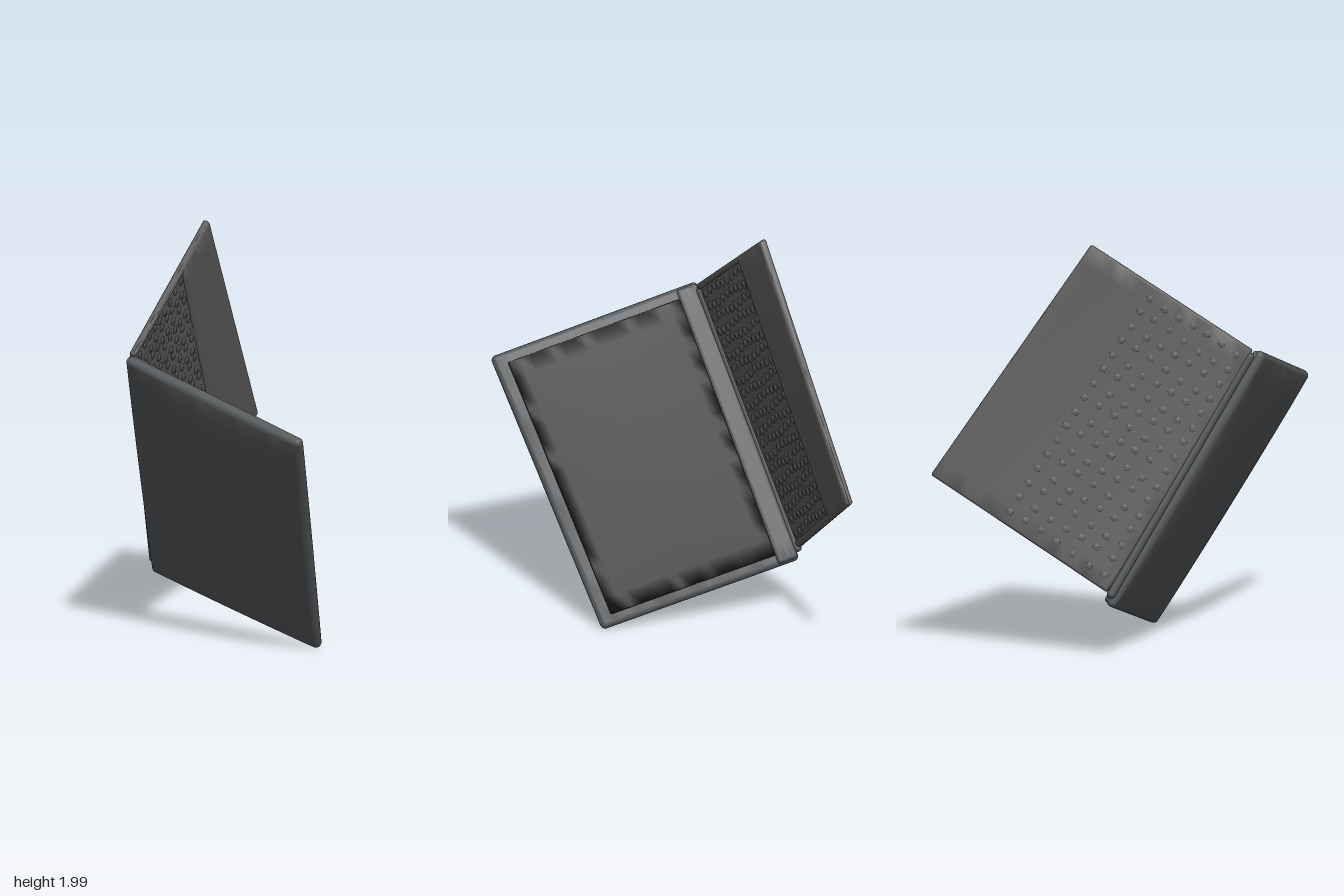
import * as THREE from 'three';
import { mergeGeometries, toCreasedNormals } from 'three/addons/utils/BufferGeometryUtils.js';

const V = (x, y, z) => new THREE.Vector3(x, y, z);
const material = (color) => new THREE.MeshStandardMaterial({ color });

// A panel frame: x runs along the hinge, y away from it, z along the normal.
// front and back say how far the middle of the panel swells like a pillow.
function panelFrame(a, b, c, d, front = 0, back = 0) {
  const u = b.clone().sub(a).add(c).sub(d);
  const v = d.clone().sub(a).add(c).sub(b);
  const normal = u.clone().cross(v).normalize();
  const width = u.length() / 2, height = v.length() / 2;
  const arch = (t) => Math.sqrt(Math.max(0, Math.sin(Math.PI * t)));
  const place = (x, y, z) => {
    const s = x / width, t = y / height;
    const swell = arch(s) * arch(t) * (z > 0 ? front : -back);
    return a.clone().multiplyScalar((1 - s) * (1 - t))
      .addScaledVector(b, s * (1 - t)).addScaledVector(c, s * t)
      .addScaledVector(d, (1 - s) * t).addScaledVector(normal, z + swell);
  };
  // Moves a flat-built geometry onto the tilted panel
  const bend = (geometry) => {
    const g = geometry.toNonIndexed();
    const p = g.attributes.position;
    for (let i = 0; i < p.count; i++) {
      const q = place(p.getX(i), p.getY(i), p.getZ(i));
      p.setXYZ(i, q.x, q.y, q.z);
    }
    return toCreasedNormals(g, 1);
  };
  return { width, height, bend };
}

// Finely divided rounded slab between two corners of the flat panel
function slab(x0, x1, y0, y1, z0, z1, radius) {
  const half = [(x1 - x0) / 2, (y1 - y0) / 2, (z1 - z0) / 2];
  const g = new THREE.BoxGeometry(2, 2, 2, 32, 32, 8);
  const p = g.attributes.position;
  for (let i = 0; i < p.count; i++) {
    const unit = [p.getX(i), p.getY(i), p.getZ(i)];
    // Inner half of the divisions spans the flat, outer half the rounded edge
    const inner = unit.map((t, k) => THREE.MathUtils.clamp(t * 2, -1, 1) * (half[k] - radius));
    const edge = V(...unit.map((t) => Math.sign(t) * Math.max(0, Math.abs(t) * 2 - 1))).setLength(radius);
    p.setXYZ(i, inner[0] + edge.x, inner[1] + edge.y, inner[2] + edge.z);
  }
  return g.translate((x0 + x1) / 2, (y0 + y1) / 2, (z0 + z1) / 2);
}

export function createModel() {
  const model = new THREE.Group();
  const shell = material(0x55585a), base = material(0x5c5c5c);
  const keyColor = material(0x505050), black = material(0x0b0b0b);
  const add = (group, name, geometry, mat) => {
    const mesh = new THREE.Mesh(geometry, mat);
    mesh.name = name;
    group.add(mesh);
  };

  // Screen half: a thin-edged pillow whose rounded rim frames the display
  const lid = new THREE.Group();
  lid.name = 'screenHalf';
  model.add(lid);
  const S = panelFrame(
    V(-0.105, 0.265, -0.65), V(-0.74, 1.485, -0.23), V(-0.6, 1.195, 0.795), V(0.03, 0, 0.33), 0.02, 0.038);
  const W = S.width, H = S.height;
  add(lid, 'screenShell', S.bend(slab(0, W, 0, H, -0.025, 0.025, 0.025)), shell);
  add(lid, 'display', S.bend(slab(0.055, W - 0.055, 0.11, H - 0.065, 0.012, 0.031, 0.004)), black);
  add(lid, 'hingeBezel', S.bend(slab(0.01, W - 0.01, 0.004, 0.112, 0.002, 0.036, 0.016)), shell);

  // Keyboard half
  const deck = new THREE.Group();
  deck.name = 'keyboardHalf';
  model.add(deck);
  const K = panelFrame(V(-0.7, 1.49, -0.235), V(-0.1, 0.33, -0.65), V(0.76, 0.88, -0.785), V(0.055, 2.0, -0.45));
  const palmStart = K.height * 0.63;
  add(deck, 'deckPlate', K.bend(slab(0, K.width, 0, K.height, -0.018, 0.01, 0.013)), base);
  add(deck, 'palmRest', K.bend(slab(0.002, K.width - 0.002, palmStart, K.height - 0.002, -0.012, 0.018, 0.013)), base);
  for (const [name, x] of [['upperRim', 0.002], ['lowerRim', K.width - 0.034]]) {
    add(deck, name, K.bend(slab(x, x + 0.032, 0.004, palmStart + 0.02, -0.012, 0.018, 0.013)), base);
  }

  // Rows of soft key bumps, with fainter ones underneath
  const keyBumps = (rows, columns, radius, z, depth) => {
    const bumps = [];
    const startX = 0.065, startY = 0.06;
    const stepX = (K.width - 2 * startX) / (columns - 1);
    const stepY = (palmStart - startY - 0.035) / (rows - 1);
    for (let r = 0; r < rows; r++) {
      for (let c = 0; c < columns; c++) {
        const wobble = 0.007 * Math.sin(r * 5.3 + c * 3.1);
        bumps.push(new THREE.SphereGeometry(radius, 10, 6).scale(1, 1, depth / radius)
          .translate(startX + c * stepX + wobble, startY + r * stepY - wobble, z));
      }
    }
    return K.bend(mergeGeometries(bumps));
  };
  add(deck, 'keys', keyBumps(9, 20, 0.022, 0.009, 0.008), keyColor);
  add(deck, 'undersideBumps', keyBumps(7, 16, 0.018, -0.017, 0.004), base);

  // Hinge joining the halves
  const from = V(-0.69, 1.47, -0.24), to = V(-0.11, 0.31, -0.645);
  const hinge = new THREE.CapsuleGeometry(0.022, from.distanceTo(to) - 0.03, 6, 14);
  hinge.applyQuaternion(new THREE.Quaternion().setFromUnitVectors(V(0, 1, 0), to.clone().sub(from).normalize()));
  const middle = from.clone().add(to).multiplyScalar(0.5);
  hinge.translate(middle.x, middle.y, middle.z);
  add(model, 'hinge', hinge, shell);

  return model;
}
